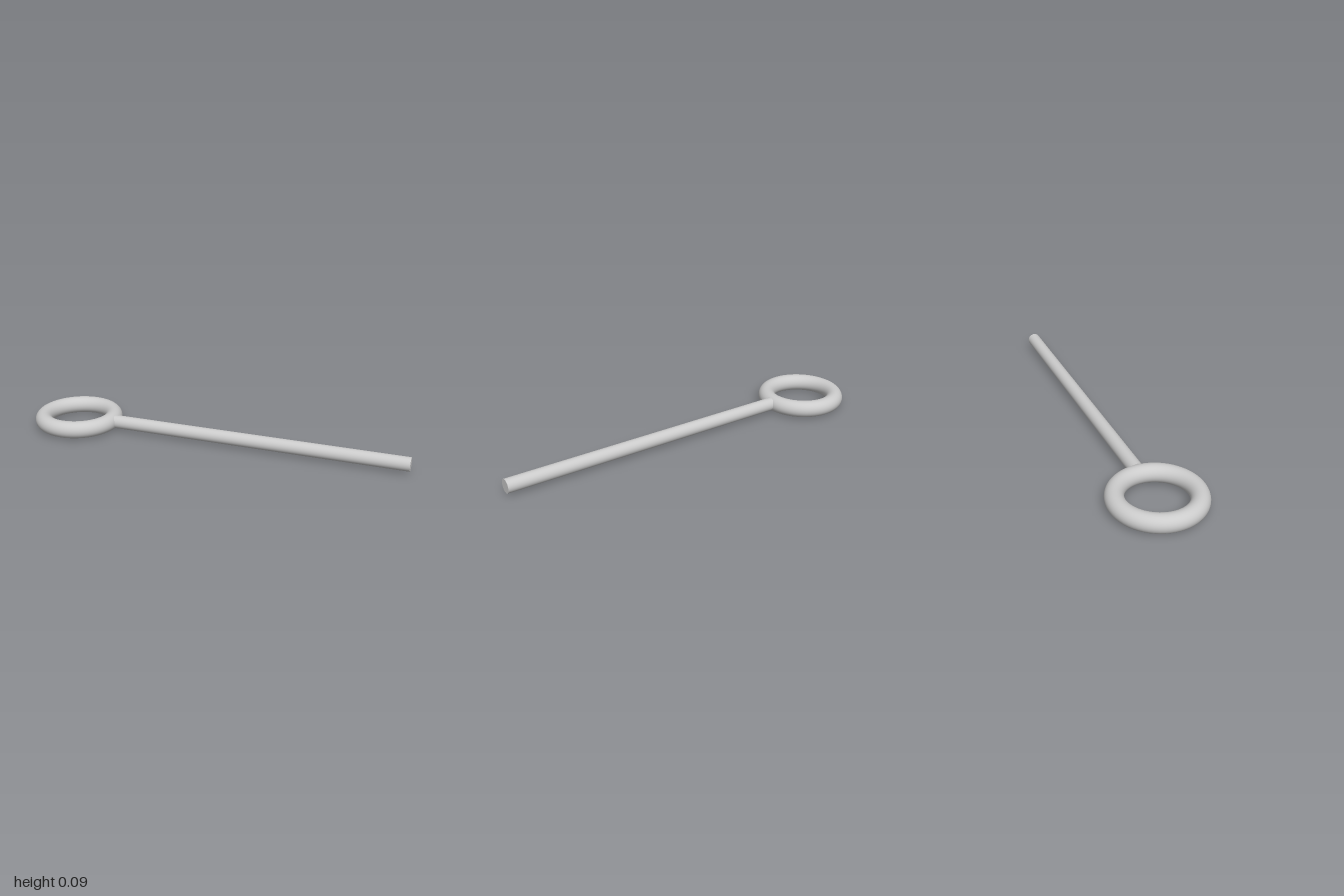
import * as THREE from 'three';

export function createModel() {
  const group = new THREE.Group();
  const material = new THREE.MeshStandardMaterial({ color: 0xcccccc });

  const tube = 0.0445;      // ring thickness radius
  const outer = 0.2325;     // ring outer radius
  const rodRadius = 0.035;
  const rodStart = -0.55;   // rod end sunk into the ring
  const rodEnd = 1;

  // Ring lying flat
  const ring = new THREE.Mesh(new THREE.TorusGeometry(outer - tube, tube, 32, 64), material);
  ring.name = 'ring';
  ring.rotation.x = Math.PI / 2;
  ring.position.set(-1 + outer, tube, 0);
  group.add(ring);

  // Straight shaft along x
  const shaft = new THREE.Mesh(
    new THREE.CylinderGeometry(rodRadius, rodRadius, rodEnd - rodStart, 48), material);
  shaft.name = 'shaft';
  shaft.rotation.z = Math.PI / 2;
  shaft.position.set((rodStart + rodEnd) / 2, 0.046, 0);
  group.add(shaft);

  return group;
}
